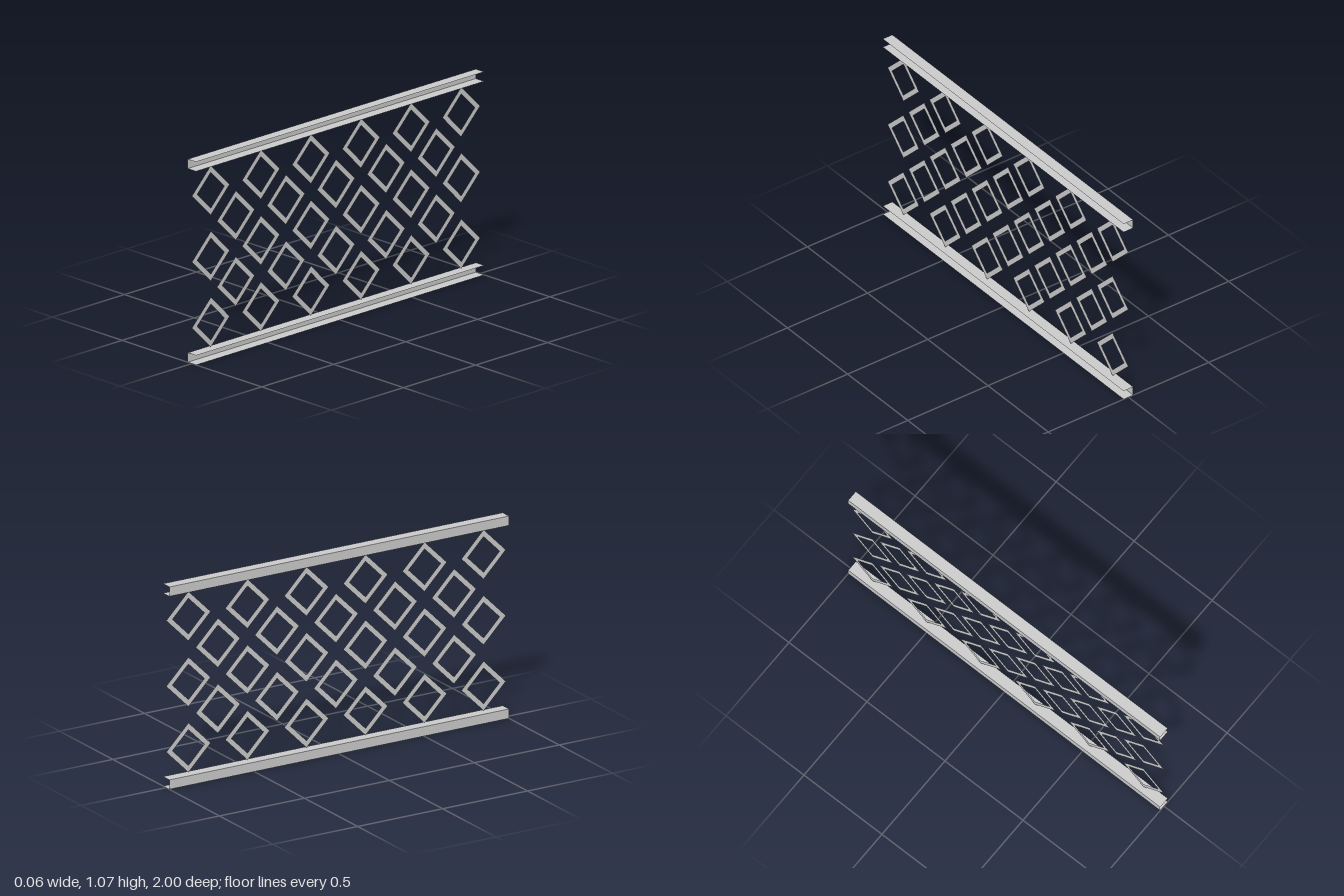
import * as THREE from 'three';
import { mergeGeometries } from 'three/addons/utils/BufferGeometryUtils.js';

const HEIGHT = 1.07, LENGTH = 2, RAIL_W = 0.06, RAIL_H = 0.05;
const PITCH = 0.3475, OUTER = 0.131, INNER = 0.094;

// Thin sheet-metal channel along z: two flanges and a web, open towards +x
function channelGeometry() {
  const flange = (y) => new THREE.PlaneGeometry(RAIL_W, LENGTH).rotateX(-Math.PI / 2).translate(0, y, 0);
  const web = new THREE.PlaneGeometry(LENGTH, RAIL_H).rotateY(-Math.PI / 2).translate(-RAIL_W / 2, 0, 0);
  return mergeGeometries([flange(RAIL_H / 2), flange(-RAIL_H / 2), web]);
}

// Flat diamond frame lying in the x = 0 plane
function diamondGeometry() {
  const corners = (r) => [[r, 0], [0, r], [-r, 0], [0, -r]].map(([a, b]) => new THREE.Vector2(a, b));
  const shape = new THREE.Shape(corners(OUTER));
  shape.holes.push(new THREE.Path(corners(INNER).reverse()));
  return new THREE.ShapeGeometry(shape).rotateY(Math.PI / 2);
}

export function createModel() {
  const model = new THREE.Group();
  model.name = 'latticeRailing';
  const material = new THREE.MeshStandardMaterial({ color: 0xcccccc, side: THREE.DoubleSide, flatShading: true });

  // Top and bottom rails
  const channel = channelGeometry();
  for (const [name, y] of [['bottomRail', RAIL_H / 2], ['topRail', HEIGHT - RAIL_H / 2]]) {
    const rail = new THREE.Mesh(channel, material);
    rail.name = name;
    rail.position.y = y;
    model.add(rail);
  }

  // Staggered rows of six and five diamonds
  const lattice = new THREE.Group();
  lattice.name = 'lattice';
  const diamond = diamondGeometry();
  for (let row = 0; row < 5; row++) {
    const count = row % 2 ? 5 : 6;
    for (let i = 0; i < count; i++) {
      const mesh = new THREE.Mesh(diamond, material);
      mesh.name = 'diamondFrame';
      mesh.position.set(0, HEIGHT / 2 + (row - 2) * PITCH / 2, (i - (count - 1) / 2) * PITCH);
      lattice.add(mesh);
    }
  }
  model.add(lattice);
  return model;
}
